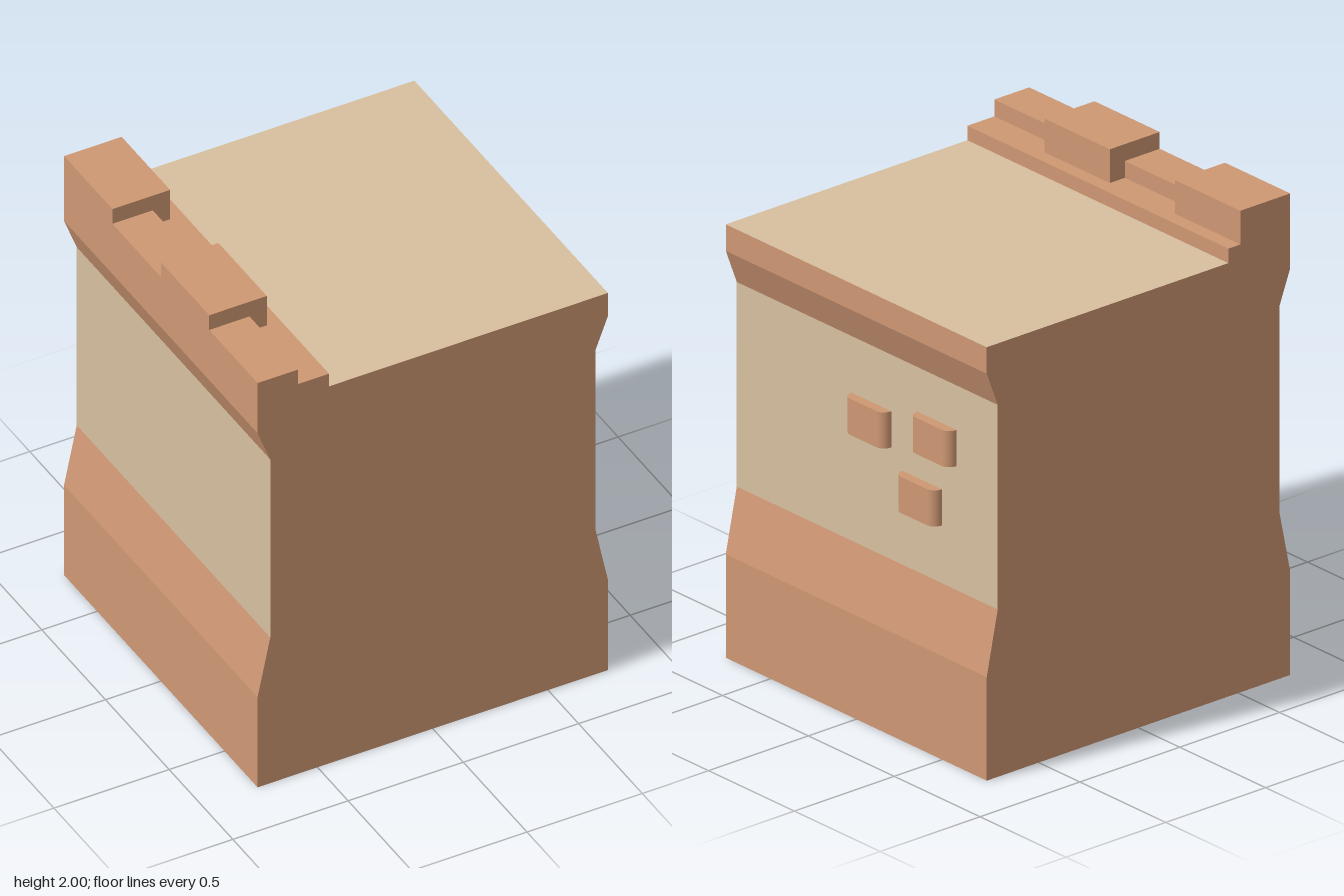
import * as THREE from 'three';

const clay = new THREE.MeshStandardMaterial({ color: 0xcf9874 });
clay.name = 'clay';
const plaster = new THREE.MeshStandardMaterial({ color: 0xd8c09f });
plaster.name = 'plaster';

const HALF = 0.76;

// Waisted block swept along z; waist walls and roof deck are plaster
function buildBody() {
  const side = [[0.76, 0], [0.76, 0.43], [0.705, 0.695], [0.705, 1.545], [0.76, 1.69], [0.76, 1.8]];
  const outline = [...side, ...side.map(([x, y]) => [-x, y]).reverse()];
  const shape = new THREE.Shape(outline.map(([x, y]) => new THREE.Vector2(x, y)));
  const geo = new THREE.ExtrudeGeometry(shape, { depth: HALF * 2, bevelEnabled: false });
  geo.translate(0, 0, -HALF);
  geo.clearGroups();
  const normal = geo.attributes.normal;
  for (let i = 0; i < normal.count; i += 3) {
    const ys = [0, 1, 2].map((k) => geo.attributes.position.getY(i + k));
    const isDeck = normal.getY(i) > 0.9;
    const isWaist = Math.abs(normal.getX(i)) > 0.9 && Math.min(...ys) > 0.6 && Math.max(...ys) < 1.6;
    geo.addGroup(i, 3, isDeck || isWaist ? 1 : 0);
  }
  const mesh = new THREE.Mesh(geo, [clay, plaster]);
  mesh.name = 'wallBlock';
  return mesh;
}

// Box spanning from the outer wall face inward to x1
function parapetBox(name, x1, y0, y1, z0, z1) {
  const mesh = new THREE.Mesh(new THREE.BoxGeometry(x1 + HALF, y1 - y0, z1 - z0), clay);
  mesh.position.set((x1 - HALF) / 2, (y0 + y1) / 2, (z0 + z1) / 2);
  mesh.name = name;
  return mesh;
}

// Brick with softly rounded vertical ends, projecting along +x
function buildBrickGeometry() {
  const w = 0.115, d = 0.042, r = 0.04, height = 0.15;
  const path = [];
  for (const s of [1, -1]) {
    for (let i = 0; i <= 6; i++) {
      const a = ((s > 0 ? i : 6 - i) / 6) * Math.PI / 2;
      path.push([d - r + r * Math.sin(a), s * (w - r + r * Math.cos(a))]);
    }
  }
  // Shape lies in x / -z, then is stood upright
  const shape = new THREE.Shape([[-0.01, w], ...path, [-0.01, -w]].map(([x, z]) => new THREE.Vector2(x, z)).reverse());
  const geo = new THREE.ExtrudeGeometry(shape, { depth: height, bevelEnabled: false });
  geo.rotateX(-Math.PI / 2);
  geo.translate(0, -height / 2, 0);
  // Smooth the rounded ends, leaving the flat top and bottom sharp
  const p = geo.attributes.position, n = geo.attributes.normal;
  for (let i = 0; i < p.count; i++) {
    if (Math.abs(n.getY(i)) > 0.5 || p.getX(i) < d - r - 1e-4) continue;
    const cz = Math.sign(p.getZ(i)) * (w - r);
    const v = new THREE.Vector3(p.getX(i) - (d - r), 0, p.getZ(i) - cz).normalize();
    n.setXYZ(i, v.x, v.y, v.z);
  }
  return geo;
}

export function createModel() {
  const group = new THREE.Group();
  group.name = 'wallSection';
  group.add(buildBody());

  // Parapet along the -x edge: ledge, then alternating merlons and low gaps
  const parapet = new THREE.Group();
  parapet.name = 'parapet';
  parapet.add(parapetBox('ledge', -0.45, 1.8, 1.86, -HALF, HALF));
  for (let i = 0; i < 4; i++) {
    const z = -HALF + i * 0.38;
    parapet.add(i % 2 === 0
      ? parapetBox('merlon', -0.51, 1.86, 2, z, z + 0.38)
      : parapetBox('lowParapet', -0.585, 1.86, 1.93, z, z + 0.38));
  }
  group.add(parapet);

  // Exposed bricks on the +x wall
  const brick = buildBrickGeometry();
  for (const [y, z] of [[1.235, -0.025], [1.285, -0.405], [1.01, -0.32]]) {
    const mesh = new THREE.Mesh(brick, clay);
    mesh.position.set(0.705, y, z);
    mesh.name = 'brick';
    group.add(mesh);
  }
  return group;
}
